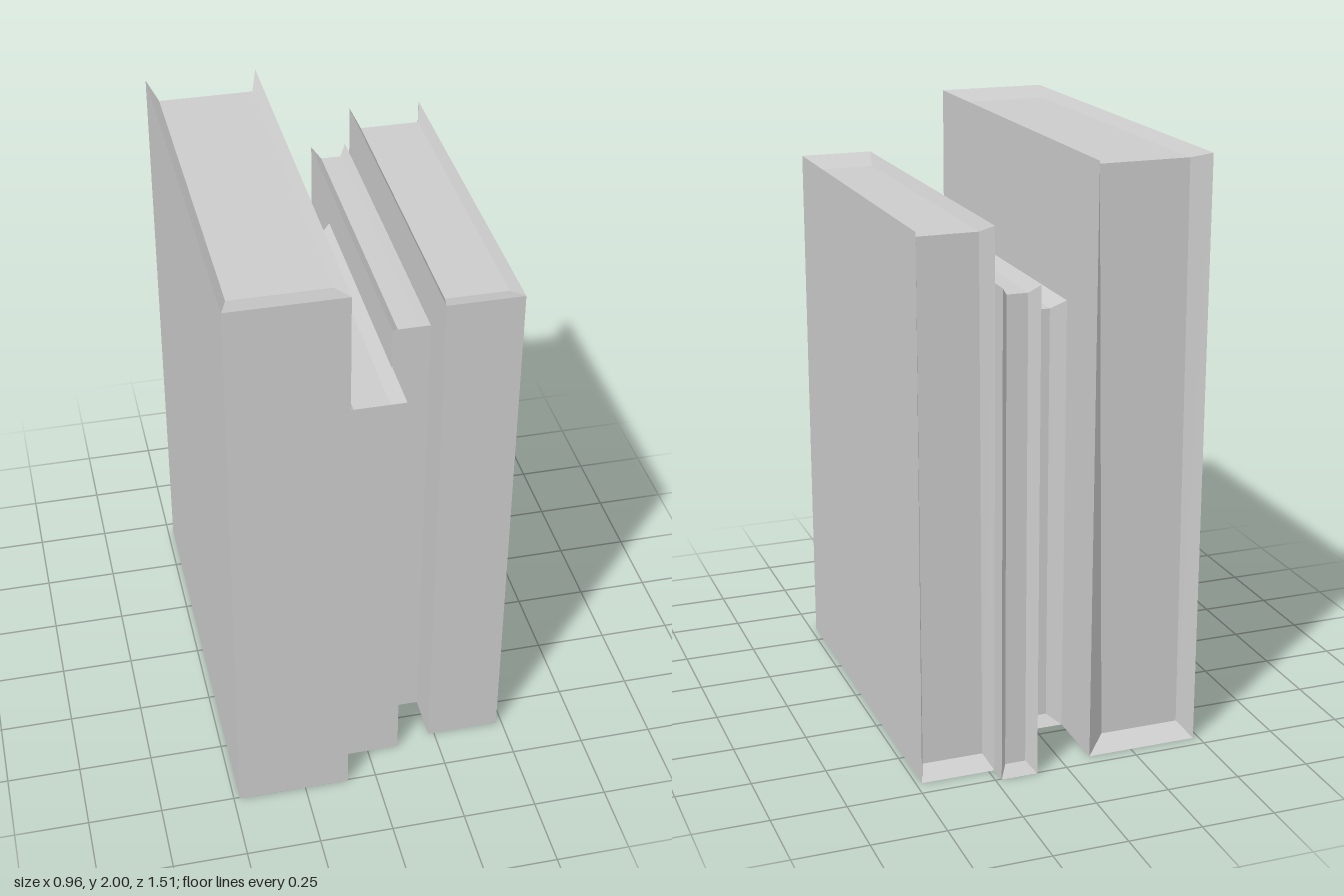
import * as THREE from 'three';

const material = new THREE.MeshStandardMaterial({ color: 0xcccccc, flatShading: true });

// One closed book, spine to the front; the pages are sunk into the top and back.
// x, z: outer range; h: height; ix: page range; zf, zr: page top front and rear;
// zb: page rear at the bottom; bx: page range at the bottom rear; d: sink depth
function makeBook({ name, x, z, h, ix, zf, zr, zb = zr, bx = ix, d = 0.03 }) {
  const p = {};
  [['L', 0], ['R', 1]].forEach(([s, i]) => {
    // cover corners
    p[s + 'Fb'] = [x[i], 0, z[1]];
    p[s + 'Ft'] = [x[i], h, z[1]];
    p[s + 'Bb'] = [x[i], 0, z[0]];
    p[s + 'Bt'] = [x[i], h, z[0]];
    // page corners
    p[s + 'f'] = [ix[i], h - d, zf];
    p[s + 'r'] = [ix[i], h - d, zr];
    p[s + 'b'] = [bx[i], 0.035, zb];
  });
  const quads = [
    'LFb RFb RFt LFt', 'LBb RBb RFb LFb', // spine, underside
    'RFb RBb RBt RFt', 'LBb LFb LFt LBt', // cover boards
    'LFt RFt Rf Lf', 'Lf Lr LBt LFt', 'Rf RFt RBt Rr', // slopes around the top
    'RBb LBb Lb Rb', 'Lb LBb LBt Lr', 'Rb Rr RBt RBb', // slopes around the rear
    'Lf Rf Rr Lr', 'Rb Lb Lr Rr', // pages
  ];
  const positions = [];
  for (const quad of quads) {
    const [a, b, c, e] = quad.split(' ').map((key) => p[key]);
    positions.push(...a, ...b, ...c, ...a, ...c, ...e);
  }
  const geometry = new THREE.BufferGeometry();
  geometry.setAttribute('position', new THREE.Float32BufferAttribute(positions, 3));
  geometry.computeVertexNormals();
  const mesh = new THREE.Mesh(geometry, material);
  mesh.name = name;
  return mesh;
}

export function createModel() {
  const group = new THREE.Group();
  group.name = 'bookRow';
  const books = [
    { name: 'tallBook', x: [-0.48, -0.1], z: [-0.705, 0.755], h: 2, ix: [-0.45, -0.13],
      zf: 0.65, zr: -0.605, zb: -0.63, bx: [-0.45, -0.175] },
    { name: 'shortBook', x: [-0.1, 0.108], z: [-0.46, 0.633], h: 1.505, ix: [-0.053, 0.065],
      zf: 0.603, zr: -0.43 },
    { name: 'thinBook', x: [0.106, 0.23], z: [-0.755, 0.438], h: 1.645, ix: [0.135, 0.205],
      zf: 0.405, zr: -0.72 },
    { name: 'mediumBook', x: [0.23, 0.48], z: [-0.687, 0.6], h: 1.822, ix: [0.25, 0.457],
      zf: 0.51, zr: -0.6, zb: -0.625, d: 0.035 },
  ];
  books.forEach((book) => group.add(makeBook(book)));
  return group;
}
